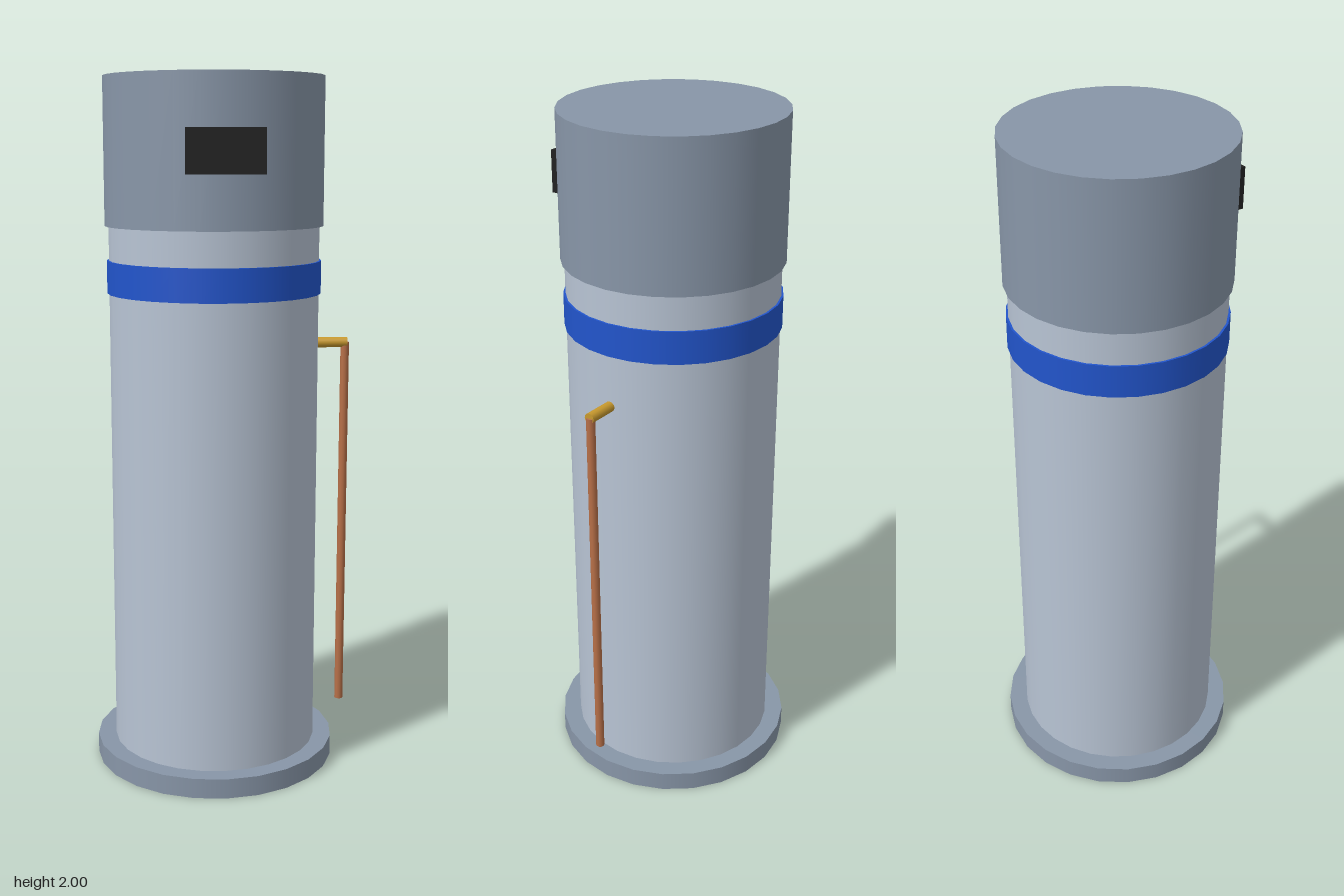
import * as THREE from 'three';

const mat = (name, color) => {
  const m = new THREE.MeshStandardMaterial({ color });
  m.name = name;
  return m;
};

export function createModel() {
  const model = new THREE.Group();
  model.name = 'waterTank';

  const shell = mat('pale steel', 0xb8c4d4);
  const steel = mat('grey steel', 0x8896a8);
  const blue = mat('blue', 0x2255cc);
  const black = mat('black', 0x222222);
  const brass = mat('brass', 0xc99a2e);
  const copper = mat('copper', 0xb87048);

  const cx = -0.022; // tank axis

  const add = (name, geometry, material, x, y, z = 0) => {
    const mesh = new THREE.Mesh(geometry, material);
    mesh.name = name;
    mesh.position.set(x, y, z);
    model.add(mesh);
    return mesh;
  };

  // Upright cylinder between two heights
  const drum = (name, r, y0, y1, sides, material, x = cx) =>
    add(name, new THREE.CylinderGeometry(r, r, y1 - y0, sides), material, x, (y0 + y1) / 2);

  // Tank
  drum('base', 0.354, 0, 0.058, 24, steel);
  drum('body', 0.3, 0.058, 1.6, 28, shell);
  drum('band', 0.306, 1.397, 1.49, 28, blue);
  drum('cap', 0.311, 1.587, 2, 28, steel);

  // Control panel on the front of the cap
  add('controlPanel', new THREE.BoxGeometry(0.21, 0.12, 0.035), black, cx, 1.795, 0.318);

  // Relief valve and its drain pipe on the left
  const valve = add('valve', new THREE.CylinderGeometry(0.015, 0.015, 0.12, 12), brass, 0.308, 1.247);
  valve.rotation.z = Math.PI / 2;
  drum('drainPipe', 0.0125, 0.142, 1.247, 10, copper, 0.362);

  return model;
}
